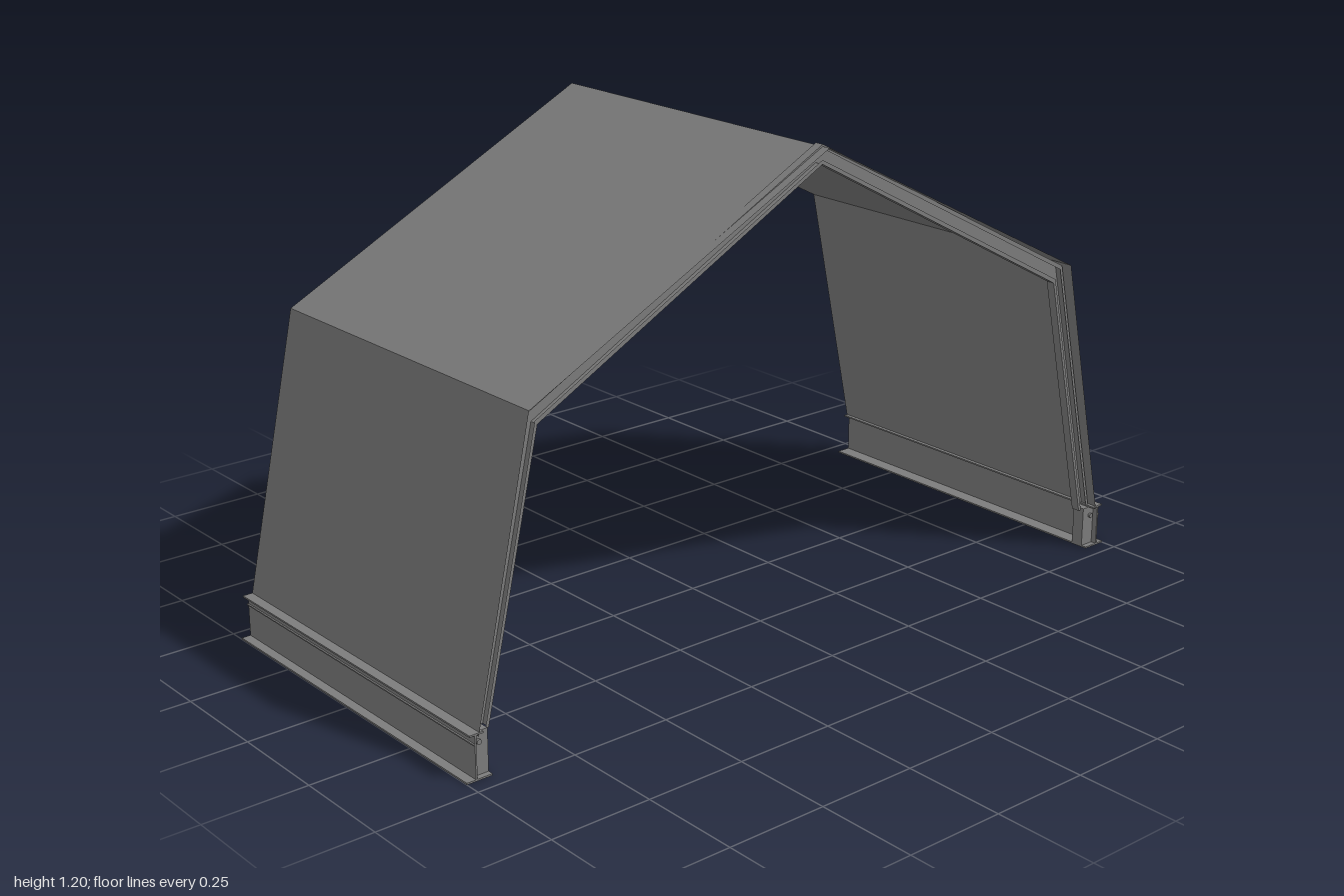
import * as THREE from 'three';

const sheetMaterial = new THREE.MeshStandardMaterial({ color: 0x7c7c7c, side: THREE.DoubleSide });
const solidMaterial = new THREE.MeshStandardMaterial({ color: 0x7c7c7c });

const END = 0.46; // half length of the shelter along x

// Folded sheet: joins neighbouring rails (polylines with equal point counts) with flat faces
function foldedSheet(name, rails) {
  const positions = [];
  for (let i = 0; i < rails.length - 1; i++) {
    const a = rails[i], b = rails[i + 1];
    for (let j = 0; j < a.length - 1; j++) {
      for (const p of [a[j], b[j], b[j + 1], a[j], b[j + 1], a[j + 1]]) positions.push(...p);
    }
  }
  const geometry = new THREE.BufferGeometry();
  geometry.setAttribute('position', new THREE.Float32BufferAttribute(positions, 3));
  geometry.computeVertexNormals();
  const mesh = new THREE.Mesh(geometry, sheetMaterial);
  mesh.name = name;
  return mesh;
}

// Box given by its x, y and z ranges
function box(name, [x0, x1], [y0, y1], [z0, z1]) {
  const mesh = new THREE.Mesh(new THREE.BoxGeometry(x1 - x0, y1 - y0, z1 - z0), solidMaterial);
  mesh.name = name;
  mesh.position.set((x0 + x1) / 2, (y0 + y1) / 2, (z0 + z1) / 2);
  return mesh;
}

// Mirrors half a (z, y) path, from foot to apex, over the ridge
function mirrored(half) {
  return [...half, ...half.slice(0, -1).reverse().map(([z, y]) => [-z, y])];
}

export function createModel() {
  const model = new THREE.Group();
  model.name = 'shelter';

  // Walls and pitched roof
  const cladding = mirrored([[0.967, 0.1], [0.82, 0.779], [0, 1.195]]);
  model.add(foldedSheet('cladding', cladding.map(([z, y]) => [[END, y, z], [-END, y, z]])));

  // Rib of four lipped channels, mitred at eaves and ridge
  const outer = mirrored([[0.963, 0.1], [0.812, 0.775], [0, 1.2]]);
  const inner = mirrored([[0.926, 0.1], [0.784, 0.736], [0, 1.155]]);
  const channel = [[0.438, 0.22], [0.438, 0], [0.416, 0], [0.416, 1], [0.438, 1], [0.438, 0.78]];
  const rib = new THREE.Group();
  rib.name = 'rib';
  for (let i = 0; i < outer.length - 1; i++) {
    rib.add(foldedSheet('ribMember', channel.map(([x, t]) => [i, i + 1].map((k) => [
      x,
      THREE.MathUtils.lerp(outer[k][1], inner[k][1], t),
      THREE.MathUtils.lerp(outer[k][0], inner[k][0], t),
    ]))));
  }
  model.add(rib);

  for (const side of [1, -1]) {
    const base = new THREE.Group();
    base.name = side > 0 ? 'frontBase' : 'backBase';
    const full = [-END, END];
    const depth = (near, far) => (side > 0 ? [near, far] : [-far, -near]);

    // Base rail: foot flange, upright web, top flange and a thin ridge below it
    base.add(box('footFlange', full, [0, 0.004], depth(0.935, 1)));
    base.add(box('railWeb', full, [0.004, 0.105], depth(0.973, 0.977)));
    base.add(box('topFlange', full, [0.105, 0.109], depth(0.955, 0.99)));
    base.add(box('railRidge', full, [0.083, 0.086], depth(0.977, 0.981)));

    // Post that holds the rib foot
    base.add(box('footPost', [0.414, 0.446], [0.004, 0.105], depth(0.935, 0.973)));

    // Bolt through the post
    const bolt = new THREE.Mesh(new THREE.CylinderGeometry(0.006, 0.006, 0.044, 12), solidMaterial);
    bolt.name = 'bolt';
    bolt.rotation.z = Math.PI / 2;
    bolt.position.set(0.43, 0.082, side * 0.96);
    base.add(bolt);

    model.add(base);
  }
  return model;
}
